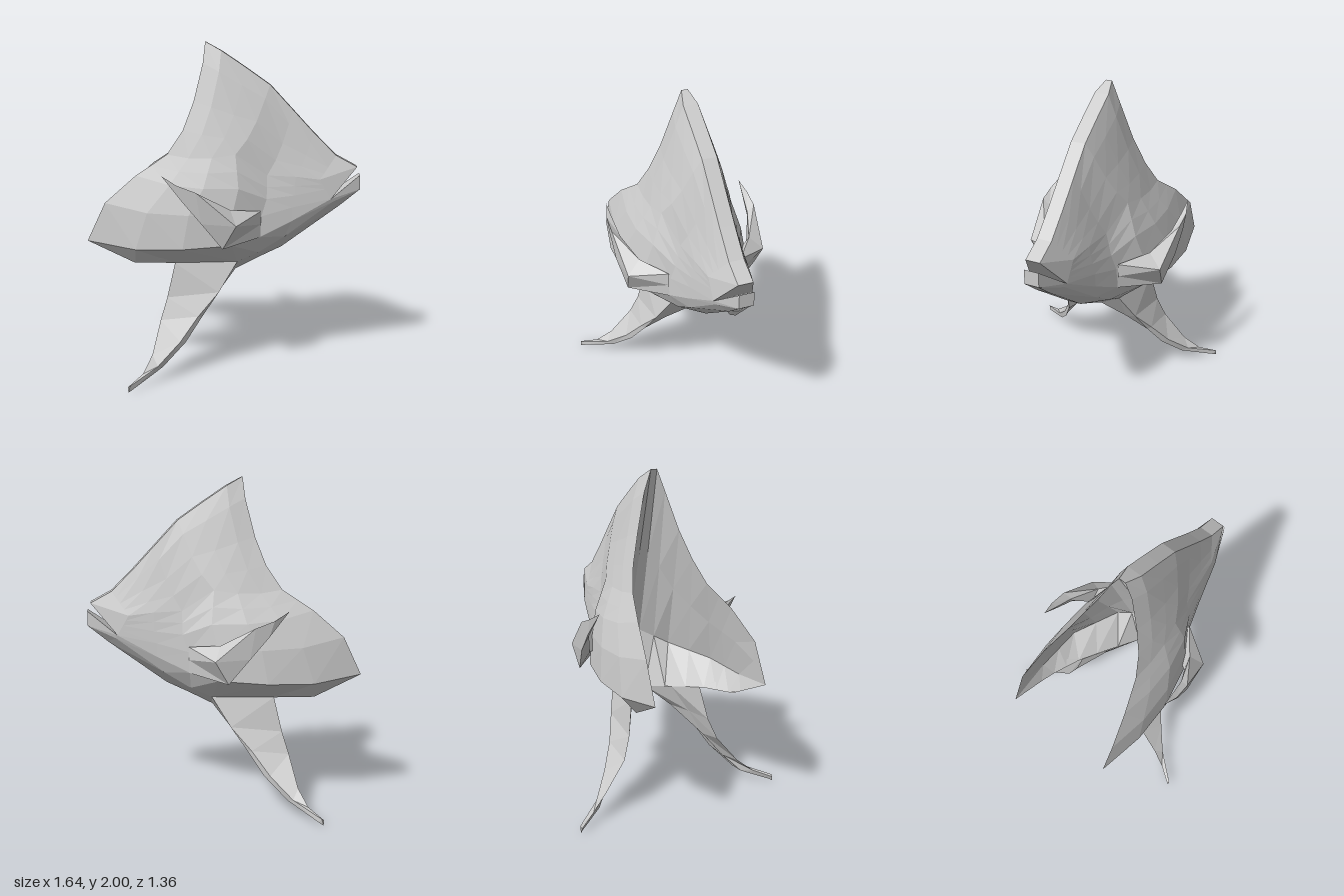
import * as THREE from 'three';

const V = (x, y, z) => new THREE.Vector3(x, y, z);
const pts = (list) => list.map((p) => V(...p));
const mirrorZ = (p) => V(p.x, p.y, -p.z);

const material = new THREE.MeshStandardMaterial({
  color: 0xcccccc, flatShading: true, side: THREE.DoubleSide,
});

// Faceted skin stretched over rows of points
function loft(rows, closed = false) {
  const pos = [];
  const n = rows[0].length;
  for (let i = 0; i < rows.length - 1; i++) {
    for (let j = 0; j < (closed ? n : n - 1); j++) {
      const k = (j + 1) % n;
      const [a, b, c, d] = [rows[i][j], rows[i + 1][j], rows[i + 1][k], rows[i][k]];
      for (const tri of [[a, b, c], [a, c, d]]) {
        const area = tri[1].clone().sub(tri[0]).cross(tri[2].clone().sub(tri[0])).length();
        if (area > 1e-7) tri.forEach((p) => pos.push(p.x, p.y, p.z));
      }
    }
  }
  const g = new THREE.BufferGeometry();
  g.setAttribute('position', new THREE.Float32BufferAttribute(pos, 3));
  g.computeVertexNormals();
  return g;
}

// Point on a polyline, t from 0 to 1 across its points
function along(line, t) {
  const f = t * (line.length - 1);
  const i = Math.min(Math.floor(f), line.length - 2);
  return line[i].clone().lerp(line[i + 1], f - i);
}

// Patch spanning four boundary lines
function patch(top, bottom, back, front, nu, nv) {
  const rows = [];
  for (let i = 0; i <= nu; i++) {
    const u = i / nu;
    const row = [];
    for (let j = 0; j <= nv; j++) {
      const v = j / nv;
      const corners = along(top, 0).lerp(along(top, 1), u)
        .lerp(along(bottom, 0).lerp(along(bottom, 1), u), v);
      row.push(along(top, u).lerp(along(bottom, u), v)
        .add(along(back, v).lerp(along(front, v), u)).sub(corners));
    }
    rows.push(row);
  }
  return rows;
}

export function createModel() {
  const model = new THREE.Group();

  // Guide lines of the left half, running from tail (-x) to snout (+x)
  const ridge = pts([[-0.14, 2, 0.02], [-0.04, 1.945, 0.045], [0.11, 1.845, 0.045], [0.26, 1.74, 0.045],
    [0.4, 1.59, 0.045], [0.53, 1.45, 0.045], [0.67, 1.31, 0.045]]);
  const waist = pts([[-0.35, 1.33, 0.25], [-0.22, 1.31, 0.255], [-0.08, 1.31, 0.25], [0.06, 1.33, 0.225],
    [0.25, 1.2, 0.175], [0.42, 1.19, 0.15], [0.57, 1.17, 0.125]]);
  const flank = pts([[-0.82, 0.82, 0.36], [-0.52, 0.78, 0.41], [-0.24, 0.785, 0.41], [0.05, 0.8, 0.35],
    [0.21, 0.83, 0.235], [0.4, 0.92, 0.18], [0.64, 1.05, 0.12]]);
  const chine = pts([[-0.82, 0.82, 0.36], [-0.54, 0.68, 0.33], [-0.31, 0.66, 0.24], [0.07, 0.66, 0.18],
    [0.2, 0.72, 0.175], [0.36, 0.82, 0.16], [0.65, 1.03, 0.11]]);
  const keel = [...chine.slice(0, 3), ...pts([[0.05, 0.58, 0.045], [0.2, 0.66, 0.045],
    [0.34, 0.73, 0.045], [0.7, 1.0, 0.045]])];
  const rearEdge = pts([[-0.14, 2, 0.02], [-0.15, 1.87, 0.07], [-0.2, 1.64, 0.14], [-0.26, 1.47, 0.2],
    [-0.35, 1.33, 0.25], [-0.44, 1.27, 0.28], [-0.53, 1.21, 0.31], [-0.71, 1.05, 0.355],
    [-0.82, 0.82, 0.36]]);
  const lip = waist[6];
  const mouthCorner = flank[6];
  const upperTip = V(0.8, 1.24, 0.045);
  const lowerTip = V(0.82, 1.19, 0.045);
  const chin = V(0.82, 1.1, 0.045);

  // Hollow rear: overhanging wall down to a crease, then a floor to the lower edge
  const crease = pts([[0.12, 0.95, 0.04], [0.04, 0.86, 0.21], [-0.24, 0.81, 0.36],
    [-0.53, 0.79, 0.38], [-0.82, 0.82, 0.36]]);
  const innerEdge = [keel[3], keel[2], keel[1], keel[0]];
  const hollow = rearEdge.map((p, i) => {
    const t = i / (rearEdge.length - 1);
    const fold = along(crease, t);
    return [along(innerEdge, t), fold, p.clone().lerp(fold, 0.5), p];
  });

  // Small side fin: top, outer, bottom and inner corner of each section
  const sideFin = [
    pts([[0.215, 0.99, 0.235], [0.215, 0.91, 0.24], [0.215, 0.83, 0.235], [0.1, 0.9, 0.2]]),
    pts([[0.04, 1.02, 0.37], [0.08, 0.94, 0.455], [0, 0.8, 0.44], [-0.02, 0.9, 0.38]]),
    pts([[-0.14, 1.1, 0.435], [-0.15, 1.14, 0.485], [-0.12, 0.955, 0.475], [-0.13, 1.04, 0.44]]),
    pts([[-0.26, 1.17, 0.45], [-0.26, 1.18, 0.485], [-0.23, 1.085, 0.48], [-0.25, 1.13, 0.455]]),
    Array(4).fill(V(-0.35, 1.23, 0.46)),
  ];

  // Long lower fin: rear edge, outer face, front edge and inner face of each section
  const lowerFin = [
    [chine[2], chine[3], keel[3], V(-0.13, 0.62, 0.14)],
    pts([[-0.355, 0.45, 0.28], [-0.04, 0.48, 0.25], [-0.05, 0.46, 0.18], [-0.2, 0.46, 0.23]]),
    pts([[-0.39, 0.32, 0.33], [-0.16, 0.345, 0.32], [-0.14, 0.335, 0.3], [-0.26, 0.31, 0.3]]),
    pts([[-0.42, 0.15, 0.47], [-0.26, 0.21, 0.405], [-0.23, 0.2, 0.375], [-0.33, 0.165, 0.41]]),
    pts([[-0.46, 0.07, 0.57], [-0.38, 0.095, 0.515], [-0.355, 0.08, 0.48], [-0.41, 0.06, 0.51]]),
    pts([[-0.53, 0.03, 0.675], [-0.515, 0.04, 0.68], [-0.5, 0.015, 0.665], [-0.515, 0.01, 0.665]]),
    Array(4).fill(V(-0.525, 0, 0.68)),
  ];

  const halfParts = {
    upperSide: loft(patch(ridge, waist, rearEdge.slice(0, 5), [ridge[6], lip], 6, 4)),
    lowerSide: loft(patch(waist, flank, rearEdge.slice(4), [lip, mouthCorner], 6, 4)),
    underside: loft(flank.map((p, i) => [p, chine[i], keel[i]])),
    rearHollow: loft(hollow),
    upperJaw: loft([[ridge[6], lip, mouthCorner], Array(3).fill(upperTip)]),
    lowerJaw: loft([[mouthCorner, chine[6], keel[6]], [lowerTip, chin, chin]]),
    sideFin: loft(sideFin, true),
    lowerFin: loft(lowerFin, true),
  };
  for (const [name, side] of [['front', 1], ['back', -1]]) {
    const half = new THREE.Group();
    half.name = name + 'Half';
    half.scale.z = side;
    for (const [part, geometry] of Object.entries(halfParts)) {
      const mesh = new THREE.Mesh(geometry, material);
      mesh.name = part;
      half.add(mesh);
    }
    model.add(half);
  }

  // Narrow band closing the middle: ridge, mouth, keel and rear seam
  const seam = [...ridge, upperTip, mouthCorner, lowerTip, chin,
    ...keel.slice(3).reverse(), crease[0], ridge[0]];
  const band = new THREE.Mesh(loft(seam.map((p) => [mirrorZ(p), p])), material);
  band.name = 'centreBand';
  model.add(band);

  return model;
}
